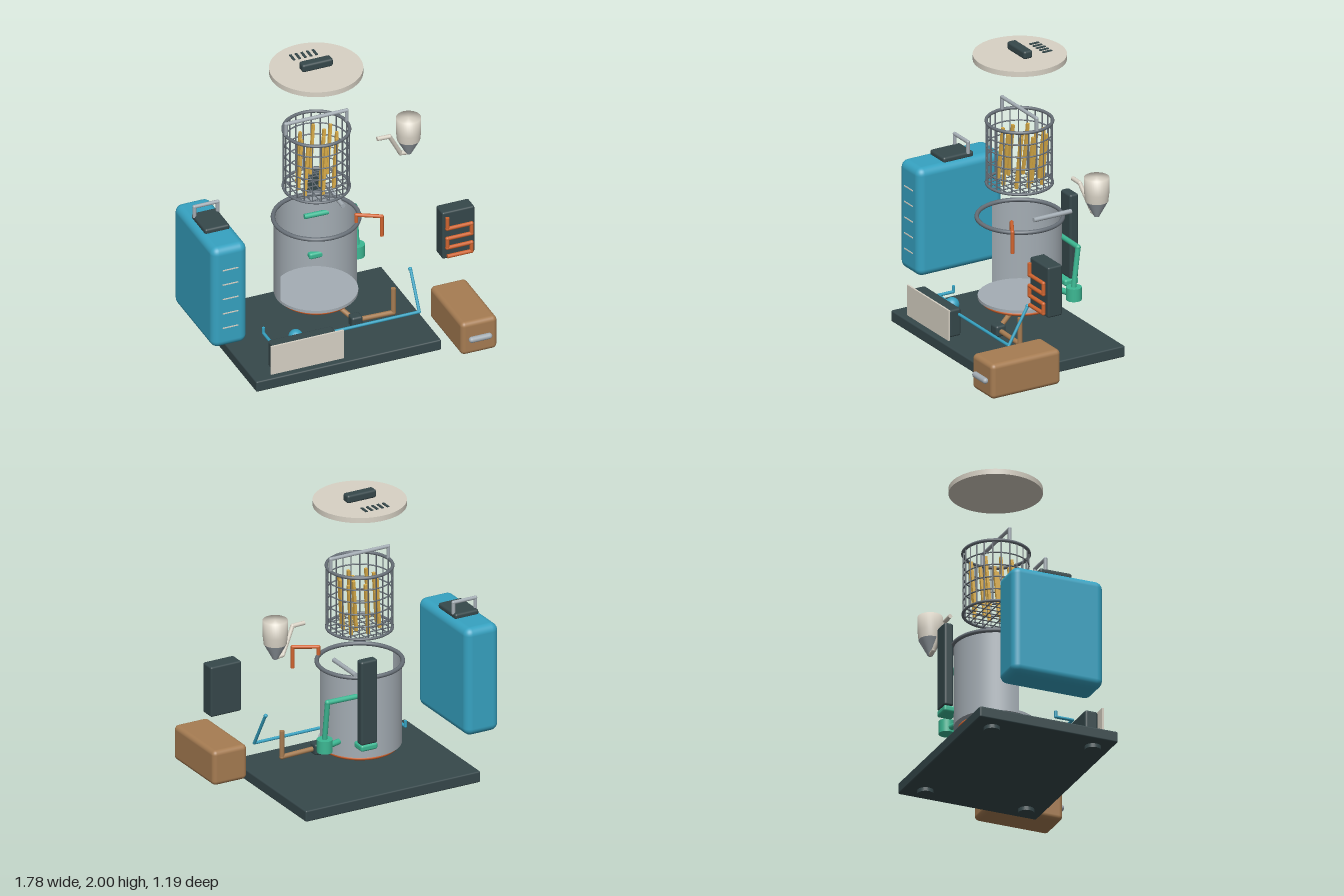
import * as THREE from 'three';
import { RoundedBoxGeometry } from 'three/addons/geometries/RoundedBoxGeometry.js';

function material(name, color, side = THREE.FrontSide) {
  const m = new THREE.MeshStandardMaterial({ color, side });
  m.name = name;
  return m;
}

export function createModel() {
  const dark = material('dark slate', 0x36484b);
  const cream = material('cream', 0xd8d2c5);
  const blue = material('water blue', 0x36a2c1);
  const steel = material('steel', 0xa4adb4, THREE.DoubleSide);
  const wire = material('dark steel', 0x687078);
  const copper = material('copper orange', 0xd0642f);
  const teal = material('pump green', 0x3cb893);
  const brown = material('brown', 0xa67c52);
  const gold = material('golden', 0xd8ab48);

  const model = new THREE.Group();
  model.name = 'explodedFryer';
  const V = (p) => new THREE.Vector3(...p);

  function add(parent, name, geo, mat, x = 0, y = 0, z = 0) {
    const m = new THREE.Mesh(geo, mat);
    m.name = name;
    m.position.set(x, y, z);
    parent.add(m);
    return m;
  }
  function group(name, x = 0, y = 0, z = 0) {
    const g = new THREE.Group();
    g.name = name;
    g.position.set(x, y, z);
    model.add(g);
    return g;
  }
  // Rounded box given by its limits [min, max] on each axis
  function box(parent, name, mat, [x0, x1], [y0, y1], [z0, z1], r = 0.015) {
    const geo = new RoundedBoxGeometry(x1 - x0, y1 - y0, z1 - z0, 4, r);
    return add(parent, name, geo, mat, (x0 + x1) / 2, (y0 + y1) / 2, (z0 + z1) / 2);
  }
  function disc(parent, name, mat, r, y0, y1, x = 0, z = 0, seg = 48) {
    return add(parent, name, new THREE.CylinderGeometry(r, r, y1 - y0, seg), mat, x, (y0 + y1) / 2, z);
  }
  function ring(parent, name, mat, R, r, y) {
    add(parent, name, new THREE.TorusGeometry(R, r, 10, 64), mat, 0, y, 0).rotation.x = Math.PI / 2;
  }
  function rod(parent, name, mat, a, b, r, seg = 14) {
    const d = V(b).sub(V(a));
    const m = add(parent, name, new THREE.CylinderGeometry(r, r, d.length(), seg), mat);
    m.position.copy(V(a).add(V(b)).multiplyScalar(0.5));
    m.quaternion.setFromUnitVectors(new THREE.Vector3(0, 1, 0), d.normalize());
  }
  // Bent pipe: straight rods with a ball at every bend
  function pipe(parent, name, mat, points, r) {
    const g = new THREE.Group();
    g.name = name;
    parent.add(g);
    for (let i = 0; i < points.length - 1; i++) {
      rod(g, name + 'Run', mat, points[i], points[i + 1], r);
      if (i > 0) add(g, name + 'Elbow', new THREE.SphereGeometry(r * 1.05, 14, 10), mat, ...points[i]);
    }
  }

  // Base plate on four feet
  const base = group('base');
  box(base, 'basePlate', dark, [-0.68, 0.58], [0.025, 0.1], [-0.595, 0.35], 0.01);
  for (const x of [-0.56, 0.46]) for (const z of [-0.46, 0.23]) disc(base, 'foot', dark, 0.052, 0, 0.03, x, z, 24);

  // Cooking pot with its front half cut away
  const CX = -0.035, CZ = -0.2;
  const pot = group('pot', CX, 0, CZ);
  add(pot, 'potWall', new THREE.CylinderGeometry(0.265, 0.265, 0.54, 64, 1, true, Math.PI * 0.45, Math.PI * 1.1), steel, 0, 0.575, 0);
  disc(pot, 'potFloor', steel, 0.264, 0.296, 0.315);
  ring(pot, 'potRim', wire, 0.27, 0.014, 0.845);

  // Heating coil under the pot
  const coil = group('heatingCoil', CX, 0, CZ);
  for (const R of [0.228, 0.18, 0.132, 0.084]) ring(coil, 'coilRing', copper, R, 0.013, 0.278);

  // Wire basket
  const basket = group('basket', CX, 0, CZ + 0.003);
  ring(basket, 'basketTopRing', wire, 0.208, 0.011, 1.495);
  ring(basket, 'basketBottomRing', wire, 0.208, 0.009, 1.078);
  for (let i = 1; i < 5; i++) ring(basket, 'basketHoop', wire, 0.206, 0.0045, 1.078 + i * 0.0834);
  for (let i = 0; i < 24; i++) {
    const a = (i / 24) * Math.PI * 2, x = 0.207 * Math.cos(a), z = 0.207 * Math.sin(a);
    rod(basket, 'basketWire', wire, [x, 1.075, z], [x, 1.495, z], 0.0045, 6);
  }
  for (let i = -3; i <= 3; i++) {
    const s = i * 0.052, h = Math.sqrt(0.207 ** 2 - s * s);
    rod(basket, 'basketFloorWire', wire, [s, 1.076, -h], [s, 1.076, h], 0.004, 6);
    rod(basket, 'basketFloorWire', wire, [-h, 1.076, s], [h, 1.076, s], 0.004, 6);
  }
  pipe(basket, 'basketHandle', steel, [[-0.207, 1.5, 0], [-0.207, 1.58, 0], [0.207, 1.58, 0], [0.207, 1.5, 0]], 0.012);

  // Leaning sticks inside the basket
  const sticks = group('fryingSticks', CX, 1.255, CZ);
  const spots = [[-0.11, 0], [-0.1, 0.08], [-0.08, -0.09], [0.01, 0.11], [0.03, -0.14], [0.03, 0.02],
    [0.07, -0.06], [0.1, 0.07], [0.13, 0], [0.13, -0.1]];
  for (const [x, z] of spots) {
    add(sticks, 'stick', new THREE.BoxGeometry(0.018, 0.35, 0.018), gold, x, 0, z).rotation.set(-0.05, 0, -0.085);
  }

  // Lid with grip and vent slots
  const lid = group('lid', CX, 0, CZ);
  disc(lid, 'lidDisc', cream, 0.295, 1.91, 1.945, 0, 0, 72);
  box(lid, 'lidGrip', dark, [-0.105, 0.105], [1.945, 2], [-0.032, 0.032]);
  for (let i = -2; i <= 2; i++) {
    add(lid, 'ventSlot', new THREE.BoxGeometry(0.016, 0.008, 0.066), dark, i * 0.0385 - 0.015, 1.947, -0.163);
  }

  // Water tank
  const tank = group('waterTank');
  box(tank, 'tankBody', blue, [-0.895, -0.655], [0.28, 1.01], [-0.462, 0.16], 0.05);
  box(tank, 'tankCap', dark, [-0.858, -0.688], [1, 1.04], [-0.265, -0.043]);
  pipe(tank, 'tankHandle', steel, [[-0.853, 1.03, -0.225], [-0.853, 1.107, -0.225], [-0.695, 1.107, -0.225], [-0.695, 1.03, -0.225]], 0.012);
  for (let i = 0; i < 5; i++) {
    add(tank, 'levelMark', new THREE.BoxGeometry(0.105, 0.007, 0.006), cream, -0.775, 0.85 - i * 0.106, 0.161);
  }

  // Upright column and its bracket behind the pot
  const column = group('column');
  box(column, 'columnBody', dark, [0.02, 0.14], [0.42, 0.99], [-0.525, -0.462]);
  box(column, 'columnBracket', teal, [0.02, 0.14], [0.378, 0.422], [-0.527, -0.425]);
  rod(column, 'columnArm', steel, [0.145, 0.885, -0.19], [0.145, 0.885, -0.465], 0.015);

  // Circulation pump with its pipes
  const pump = group('circulationPump');
  disc(pump, 'pumpBody', teal, 0.05, 0.37, 0.455, 0.32, -0.378, 32);
  pipe(pump, 'upperPipe', teal, [[-0.02, 0.715, -0.42], [0.318, 0.715, -0.41], [0.32, 0.44, -0.375]], 0.017);
  rod(pump, 'lowerPipe', teal, [0.2, 0.4, -0.345], [0.3, 0.4, -0.375], 0.019);

  // Copper spout over the pot edge
  pipe(group('copperSpout'), 'spoutPipe', copper,
    [[0.16, 0.86, -0.02], [0.16, 0.913, -0.02], [0.3, 0.913, 0.06], [0.3, 0.77, 0.06]], 0.012);

  // Heat exchanger block with a winding tube
  const heater = group('heatExchanger');
  box(heater, 'exchangerBlock', dark, [0.67, 0.89], [0.56, 0.9], [0.055, 0.16], 0.012);
  const L = 0.695, R = 0.86, F = 0.177;
  pipe(heater, 'windingTube', copper, [[L, 0.87, F], [L, 0.79, F], [R, 0.79, F], [R, 0.717, F], [L, 0.717, F],
    [L, 0.65, F], [R, 0.65, F], [R, 0.587, F], [L, 0.587, F]], 0.013);

  // Waste drawer
  const drawer = group('wasteDrawer');
  box(drawer, 'drawerBody', brown, [0.627, 0.873], [0.085, 0.32], [0.053, 0.56], 0.03);
  const pull = add(drawer, 'drawerPull', new THREE.CapsuleGeometry(0.02, 0.118, 6, 14), steel, 0.75, 0.2, 0.572);
  pull.rotation.z = Math.PI / 2;

  // Funnel with side arm
  const funnel = group('funnel', 0.655, 0, -0.34);
  const cup = [[0, 1.325], [0.079, 1.325], [0.079, 1.22], [0.073, 1.165]].reverse();
  add(funnel, 'funnelCup', new THREE.LatheGeometry(cup.map((p) => new THREE.Vector2(...p)), 36), cream);
  add(funnel, 'funnelCone', new THREE.CylinderGeometry(0.073, 0.016, 0.105, 36), steel, 0, 1.1125, 0);
  pipe(funnel, 'funnelArm', cream, [[-0.23, 1.243, 0.035], [-0.145, 1.24, 0.035], [-0.055, 1.075, 0], [0, 1.067, 0]], 0.014);

  // Control panel and its housing
  const controls = group('controlPanel');
  add(controls, 'panelPlate', new THREE.BoxGeometry(0.495, 0.205, 0.012), cream, -0.3125, 0.2025, 0.3);
  box(controls, 'panelHousing', dark, [-0.535, -0.1], [0.1, 0.285], [0.19, 0.277]);

  // Water line with feed ball
  const water = group('waterLine');
  pipe(water, 'supplyPipe', blue, [[-0.1, 0.245, 0.205], [0.492, 0.245, 0.205], [0.492, 0.485, 0.065]], 0.01);
  add(water, 'supplyTip', new THREE.SphereGeometry(0.013, 14, 10), blue, 0.49, 0.482, 0.066);
  add(water, 'feedBall', new THREE.SphereGeometry(0.046, 24, 16), blue, -0.315, 0.22, 0.125);
  pipe(water, 'feedPipe', blue, [[-0.485, 0.26, 0.01], [-0.485, 0.22, 0.01], [-0.485, 0.22, 0.125], [-0.315, 0.22, 0.125], [-0.315, 0.22, 0.2]], 0.01);

  // Drain pipe with valve
  const drain = group('drain');
  pipe(drain, 'drainPipe', brown, [[0, 0.28, -0.17], [0.12, 0.19, 0.055], [0.38, 0.183, 0.055], [0.38, 0.36, 0.055]], 0.016);
  box(drain, 'drainValve', dark, [0.085, 0.16], [0.152, 0.228], [0.018, 0.09]);

  return model;
}
